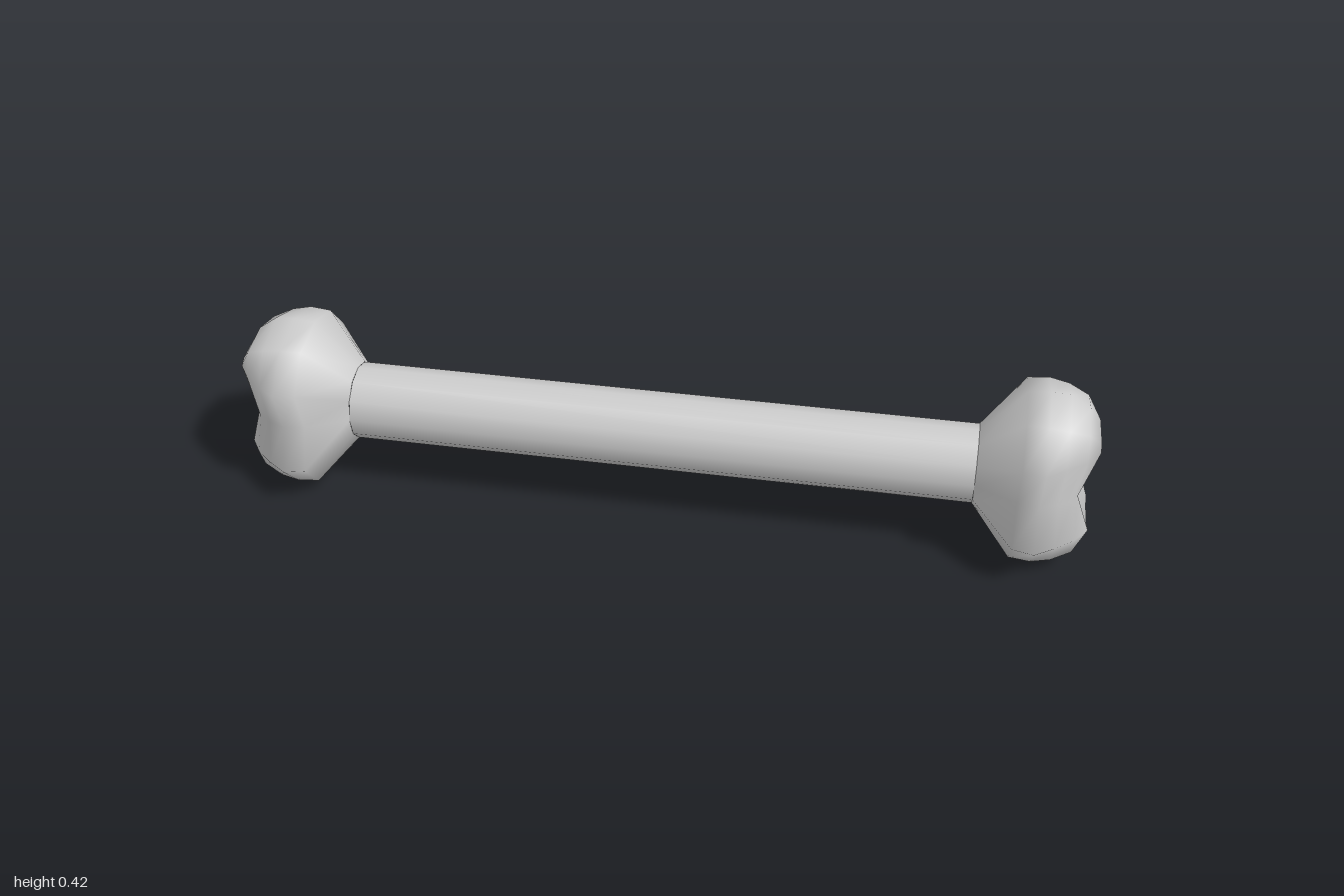
import * as THREE from 'three';

const MID = 0.213; // height of the bone's axis

// Quarter sections of a knobbly end, from shaft outwards:
// [x, topY, z1, y1, z2, y2, waistZ, waistX]
const SECTIONS = [
  [0.735, 0.092, 0.046, 0.080, 0.080, 0.046, 0.092, 0.735],
  [0.83, 0.207, 0.100, 0.183, 0.172, 0.105, 0.140, 0.83],
  [0.88, 0.212, 0.105, 0.185, 0.182, 0.107, 0.148, 0.88],
  [0.925, 0.210, 0.100, 0.177, 0.150, 0.107, 0.130, 0.92],
  [0.97, 0.178, 0.085, 0.160, 0.110, 0.107, 0.112, 0.95],
  [1.0, 0.122, 0.050, 0.120, 0.066, 0.107, 0.090, 0.962],
  [0.966, 0.055, 0.050, 0.055, 0.066, 0.050, 0.085, 0.963],
  [0.965, 0, 0.050, 0, 0.066, 0, 0.083, 0.963], // closes along the groove
];

// Mirror a quarter section into a 12-point ring, running from the top towards +z
function ring([x, y0, z1, y1, z2, y2, z3, x3]) {
  return [
    [x, y0, 0], [x, y1, z1], [x, y2, z2], [x3, 0, z3],
    [x, -y2, z2], [x, -y1, z1], [x, -y0, 0], [x, -y1, -z1],
    [x, -y2, -z2], [x3, 0, -z3], [x, y2, -z2], [x, y1, -z1],
  ];
}

function knuckleGeometry() {
  const n = 12;
  const index = [];
  for (let i = 0; i < SECTIONS.length - 1; i++) {
    for (let j = 0; j < n; j++) {
      const a = i * n + j, b = i * n + (j + 1) % n;
      index.push(a, b, a + n, b, b + n, a + n);
    }
  }
  // Weld the two sides of the closing line
  const last = (SECTIONS.length - 1) * n;
  const weld = { 4: 2, 5: 1, 6: 0, 7: 11, 8: 10 };
  const welded = index.map((v) => (v >= last && (v - last) in weld ? last + weld[v - last] : v));
  const geometry = new THREE.BufferGeometry();
  geometry.setAttribute('position', new THREE.Float32BufferAttribute(SECTIONS.flatMap(ring).flat(), 3));
  geometry.setIndex(welded);
  geometry.computeVertexNormals();
  return geometry;
}

export function createModel() {
  const bone = new THREE.Group();
  bone.name = 'bone';
  const material = new THREE.MeshStandardMaterial({ color: 0xcccccc });

  // Straight shaft
  const shaftGeometry = new THREE.CylinderGeometry(0.092, 0.092, 1.47, 12, 1, true);
  shaftGeometry.rotateZ(Math.PI / 2);
  const shaft = new THREE.Mesh(shaftGeometry, material);
  shaft.name = 'shaft';
  shaft.position.y = MID;
  bone.add(shaft);

  // Two-lobed ends, the right one turned half way round
  const knuckle = knuckleGeometry();
  for (const [name, turn] of [['leftKnuckle', 0], ['rightKnuckle', Math.PI]]) {
    const end = new THREE.Mesh(knuckle, material);
    end.name = name;
    end.position.y = MID;
    end.rotation.y = turn;
    bone.add(end);
  }
  return bone;
}
